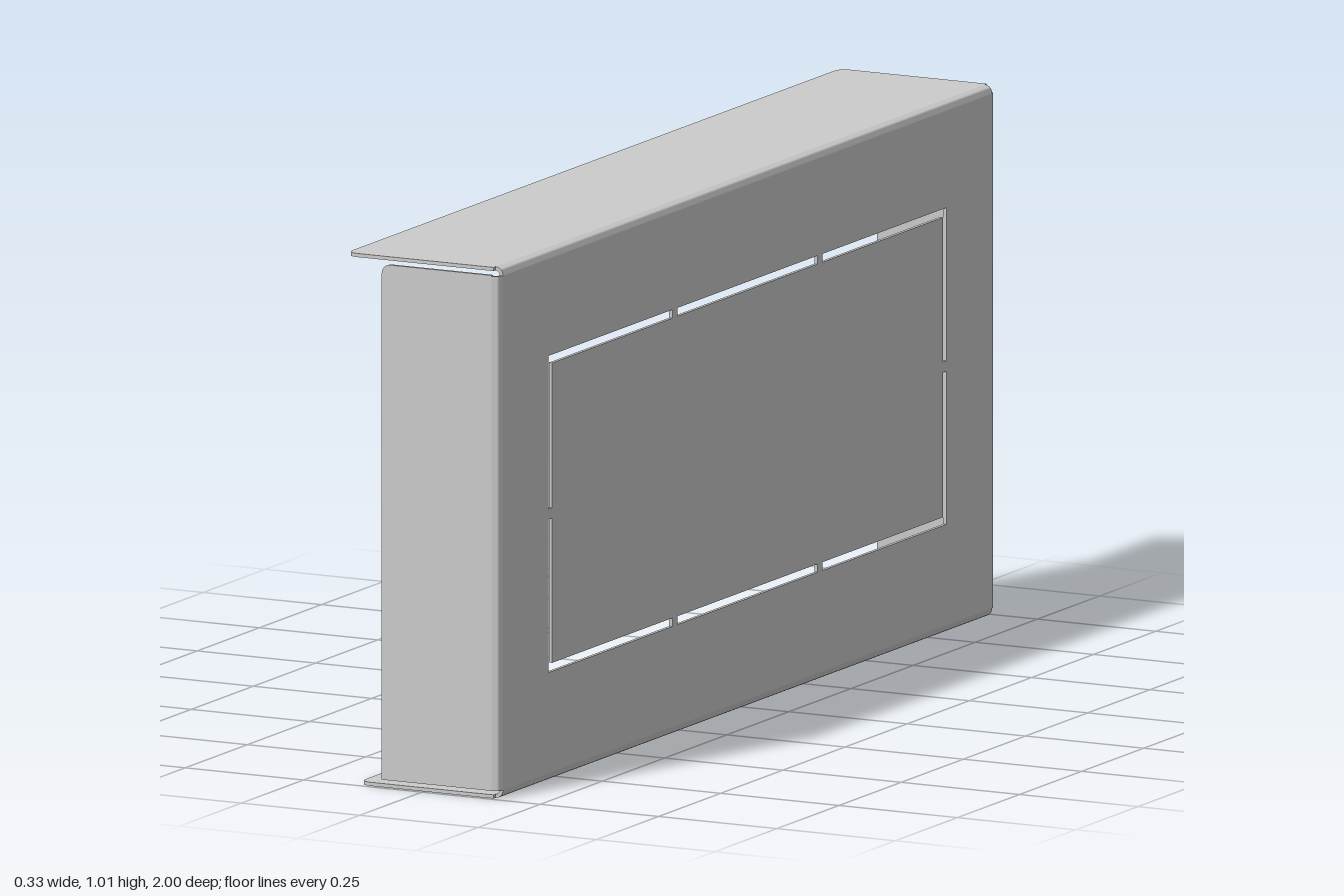
import * as THREE from 'three';
import { toCreasedNormals } from 'three/addons/utils/BufferGeometryUtils.js';

const T = 0.007;            // sheet thickness
const R = 0.016;            // outer bend radius
const X = 0.163, Z = 1, H = 1.013;
const XI = X - R, ZI = Z - R; // where the flat areas end and the bends begin
const material = new THREE.MeshStandardMaterial({ color: 0xcccccc, side: THREE.DoubleSide });

function extrude(name, shape, depth) {
  const flat = new THREE.ExtrudeGeometry(shape, { depth, bevelEnabled: false, curveSegments: 6 });
  const mesh = new THREE.Mesh(toCreasedNormals(flat, 0.6), material);
  mesh.name = name;
  return mesh;
}

function polygon(points, Type = THREE.Path) {
  return new Type(points.map(([x, y]) => new THREE.Vector2(x, y)));
}

// Flange outline: straight at the bend (x1), rounded at the free edge (x0)
function flangeShape(x0, x1, y0, y1, rLow, rHigh) {
  const s = new THREE.Shape();
  s.moveTo(x1, y0);
  s.lineTo(x1, y1);
  s.lineTo(x0 + rHigh, y1);
  s.quadraticCurveTo(x0, y1, x0, y1 - rHigh);
  s.lineTo(x0, y0 + rLow);
  s.quadraticCurveTo(x0, y0, x0 + rLow, y0);
  s.closePath();
  return s;
}

// Quarter ring cross-section of a bend, starting at angle a
function bendShape(a) {
  const s = new THREE.Shape();
  s.absarc(0, 0, R, a, a + Math.PI / 2, false);
  s.absarc(0, 0, R - T, a + Math.PI / 2, a, true);
  s.closePath();
  return s;
}

export function createModel() {
  const model = new THREE.Group();
  model.name = 'sheetMetalCover';

  // Face plate with a knock-out panel held by six small tabs
  const face = polygon([[-ZI, R], [ZI, R], [ZI, H - R], [-ZI, H - R]], THREE.Shape);
  const cy = 0.51, ow = 0.8, oh = 0.302, iw = 0.786, ih = 0.286;
  const tabIn = 0.282, tabOut = 0.302, tabY = 0.01;
  for (const sy of [-1, 1]) {
    for (const sx of [-1, 1]) {
      face.holes.push(polygon([
        [tabOut, oh], [ow, oh], [ow, tabY], [iw, tabY], [iw, ih], [tabOut, ih],
      ].map(([x, y]) => [sx * x, cy + sy * y])));
    }
    face.holes.push(polygon([
      [-tabIn, ih], [tabIn, ih], [tabIn, oh], [-tabIn, oh],
    ].map(([x, y]) => [x, cy + sy * y])));
  }
  const plate = extrude('facePlate', face, T);
  plate.rotation.y = Math.PI / 2;
  plate.position.x = X - T;
  model.add(plate);

  // Top flange
  const zf = 0.992;
  const top = extrude('topFlange', flangeShape(-X, XI, -zf, zf, 0.025, 0.025), T);
  top.rotation.x = -Math.PI / 2;
  top.position.y = H - T;
  model.add(top);

  // Bottom flange with two mounting holes
  const lower = flangeShape(-0.135, XI, -zf, zf, 0.025, 0.025);
  for (const z of [-0.75, 0.75]) {
    const hole = [];
    for (let i = 0; i < 6; i++) {
      const a = i * Math.PI / 3;
      hole.push([0.042 * Math.cos(a), z + 0.042 * Math.sin(a)]);
    }
    lower.holes.push(polygon(hole));
  }
  const bottom = extrude('bottomFlange', lower, T);
  bottom.rotation.x = -Math.PI / 2;
  model.add(bottom);

  // Top and bottom bends
  for (const [name, y, a] of [['topBend', H - R, 0], ['bottomBend', R, -Math.PI / 2]]) {
    const bend = extrude(name, bendShape(a), 2 * ZI);
    bend.position.set(XI, y, -ZI);
    model.add(bend);
  }

  // End flanges and their bends
  for (const s of [-1, 1]) {
    const side = s > 0 ? 'front' : 'back';
    const flange = extrude(side + 'Flange', flangeShape(-0.085, XI, R, 0.999, 0.001, 0.02), T);
    flange.position.z = s > 0 ? Z - T : -Z;
    model.add(flange);

    const bend = extrude(side + 'Bend', bendShape(s > 0 ? -Math.PI / 2 : 0), H - 2 * R);
    bend.rotation.x = -Math.PI / 2;
    bend.position.set(XI, R, s * ZI);
    model.add(bend);
  }
  return model;
}
